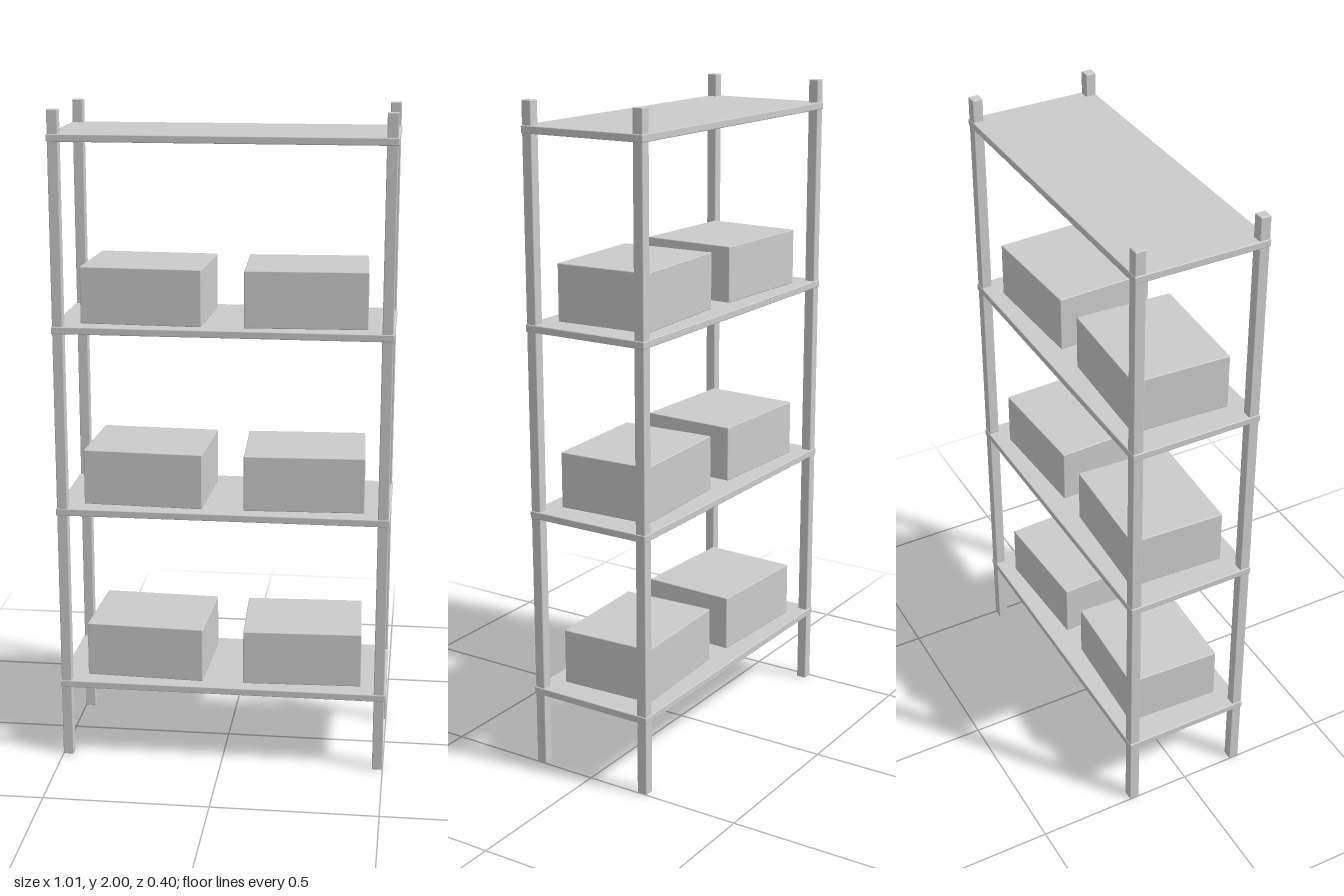
import * as THREE from 'three';
import { RoundedBoxGeometry } from 'three/addons/geometries/RoundedBoxGeometry.js';

const material = new THREE.MeshStandardMaterial({ color: 0xcccccc });

// Block with slightly eased edges
function block(name, w, h, d, x, y, z, turn = 0) {
  const mesh = new THREE.Mesh(new RoundedBoxGeometry(w, h, d, 2, 0.003), material);
  mesh.name = name;
  mesh.position.set(x, y, z);
  mesh.rotation.y = turn;
  return mesh;
}

export function createModel() {
  const group = new THREE.Group();
  group.name = 'shelvingUnit';

  // Four corner posts
  const post = 0.032;
  for (const sx of [-1, 1]) {
    for (const sz of [-1, 1]) {
      const name = (sz > 0 ? 'front' : 'back') + (sx > 0 ? 'Left' : 'Right') + 'Post';
      group.add(block(name, post, 2, post, sx * (0.5 - post / 2), 1, sz * (0.2 - post / 2)));
    }
  }

  // Four shelves, the lower three each holding two slightly turned boxes
  const thickness = 0.022, boxHeight = 0.17;
  for (let i = 0; i < 4; i++) {
    const y = 0.238 + i * 0.5605;
    group.add(block('shelf' + (i + 1), 1.006, thickness, 0.404, 0, y, 0));
    if (i === 3) continue;
    const boxY = y + thickness / 2 + boxHeight / 2;
    for (const side of [-1, 1]) {
      const name = (side > 0 ? 'left' : 'right') + 'Box' + (i + 1);
      group.add(block(name, 0.363, boxHeight, 0.298, side * 0.238, boxY, 0.002, side * 0.044));
    }
  }
  return group;
}
